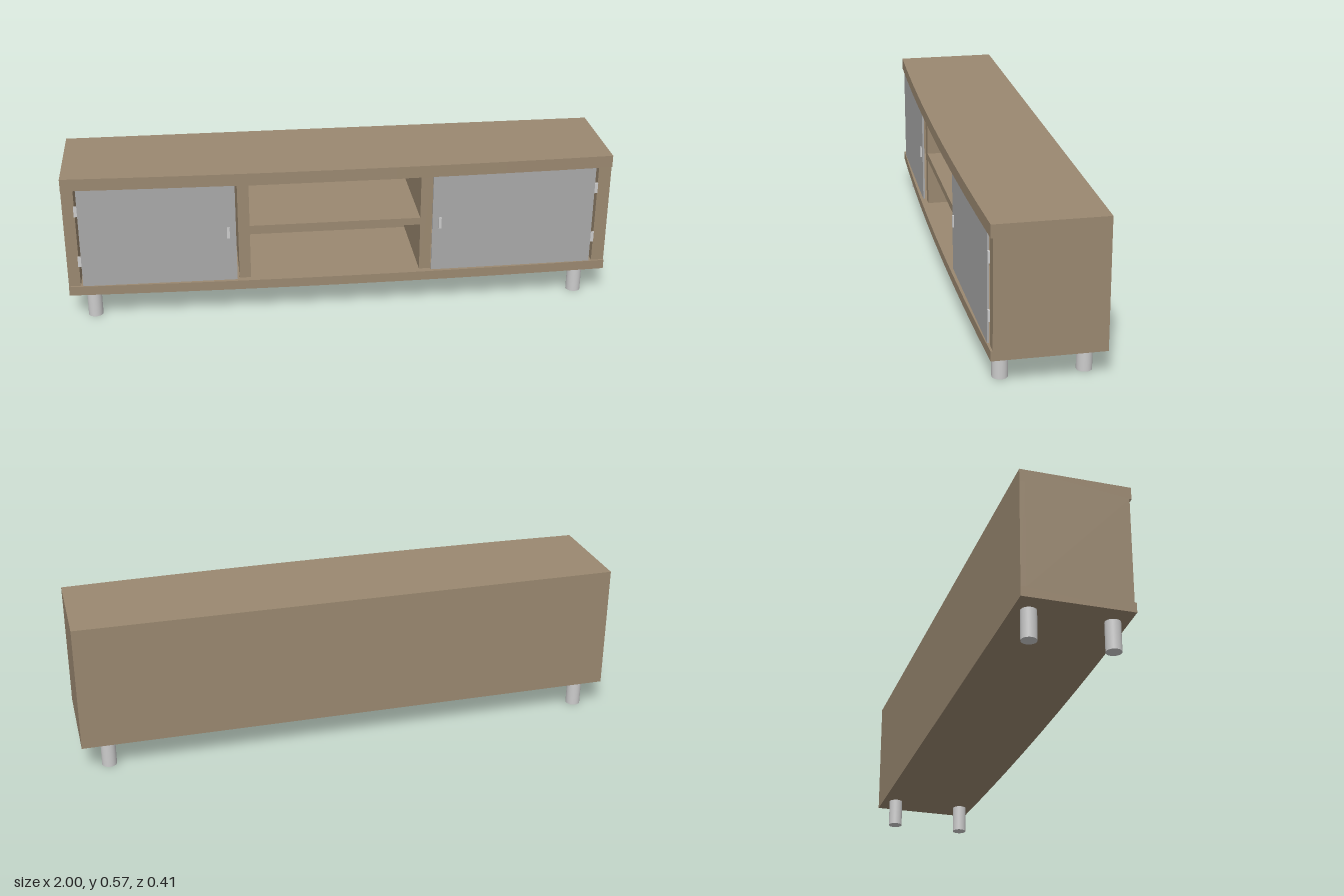
import * as THREE from 'three';

export function createModel() {
  const group = new THREE.Group();
  const wood = new THREE.MeshStandardMaterial({ color: 0x9a8870 });
  const doorGrey = new THREE.MeshStandardMaterial({ color: 0xa8a8a8 });
  const metal = new THREE.MeshStandardMaterial({ color: 0xcccccc });

  const add = (name, geometry, material, x, y, z, parent = group) => {
    const mesh = new THREE.Mesh(geometry, material);
    mesh.name = name;
    mesh.position.set(x, y, z);
    parent.add(mesh);
    return mesh;
  };

  // Box given by its lower and upper corners
  const box = (name, material, [x0, y0, z0], [x1, y1, z1], parent) =>
    add(name, new THREE.BoxGeometry(x1 - x0, y1 - y0, z1 - z0), material,
      (x0 + x1) / 2, (y0 + y1) / 2, (z0 + z1) / 2, parent);

  // Horizontal panel with a gently bowed front edge
  const bowedPanel = (name, y0, y1) => {
    const shape = new THREE.Shape();
    shape.moveTo(-1, 0.202);
    shape.lineTo(1, 0.202);
    for (let i = 0; i <= 10; i++) {
      const x = 1 - i * 0.2;
      shape.lineTo(x, -(0.203 - 0.02 * x * x));
    }
    shape.closePath();
    const geometry = new THREE.ExtrudeGeometry(shape, { depth: y1 - y0, bevelEnabled: false });
    geometry.rotateX(-Math.PI / 2);
    add(name, geometry, wood, 0, y0, 0);
  };

  const low = 0.14, high = 0.523, back = -0.202, front = 0.176;

  // Cabinet body
  bowedPanel('bottomPanel', 0.105, low);
  bowedPanel('topPanel', high, 0.568);
  box('backPanel', wood, [-1, low, back], [1, high, back + 0.02]);
  box('rightSidePanel', wood, [-1, low, back + 0.02], [-0.957, high, front]);
  box('leftSidePanel', wood, [0.953, low, back + 0.02], [1, high, front]);
  box('rightDivider', wood, [-0.377, low, back + 0.02], [-0.335, high, front]);
  box('leftDivider', wood, [0.293, low, back + 0.02], [0.335, high, front]);
  box('middleShelf', wood, [-0.335, 0.323, back + 0.02], [0.293, 0.35, front]);

  // Doors follow the bow, turning slightly about their hinge edge
  const door = (name, hingeX, width, side) => {
    const pivot = new THREE.Group();
    pivot.name = name;
    pivot.position.set(hingeX, 0, 0.176);
    pivot.rotation.y = side * 0.011;
    group.add(pivot);
    const inner = -side * width;
    box('doorPanel', doorGrey, [Math.min(0, inner), low + 0.001, 0],
      [Math.max(0, inner), high - 0.001, 0.007], pivot);
    const handleX = inner + side * 0.028;
    box('doorHandle', metal, [handleX - 0.005, 0.312, 0.007],
      [handleX + 0.005, 0.355, 0.013], pivot);
    for (const y of [0.24, 0.44]) {
      box('hinge', metal, [side > 0 ? 0 : -0.012, y - 0.02, 0],
        [side > 0 ? 0.012 : 0, y + 0.02, 0.006], pivot);
    }
  };
  door('rightDoor', -0.948, 0.563, -1);
  door('leftDoor', 0.941, 0.605, 1);

  // Round legs
  for (const x of [-0.914, 0.903]) {
    for (const z of [0.134, -0.148]) {
      add('leg', new THREE.CylinderGeometry(0.027, 0.027, 0.105, 32), metal, x, 0.0525, z);
    }
  }

  return group;
}
